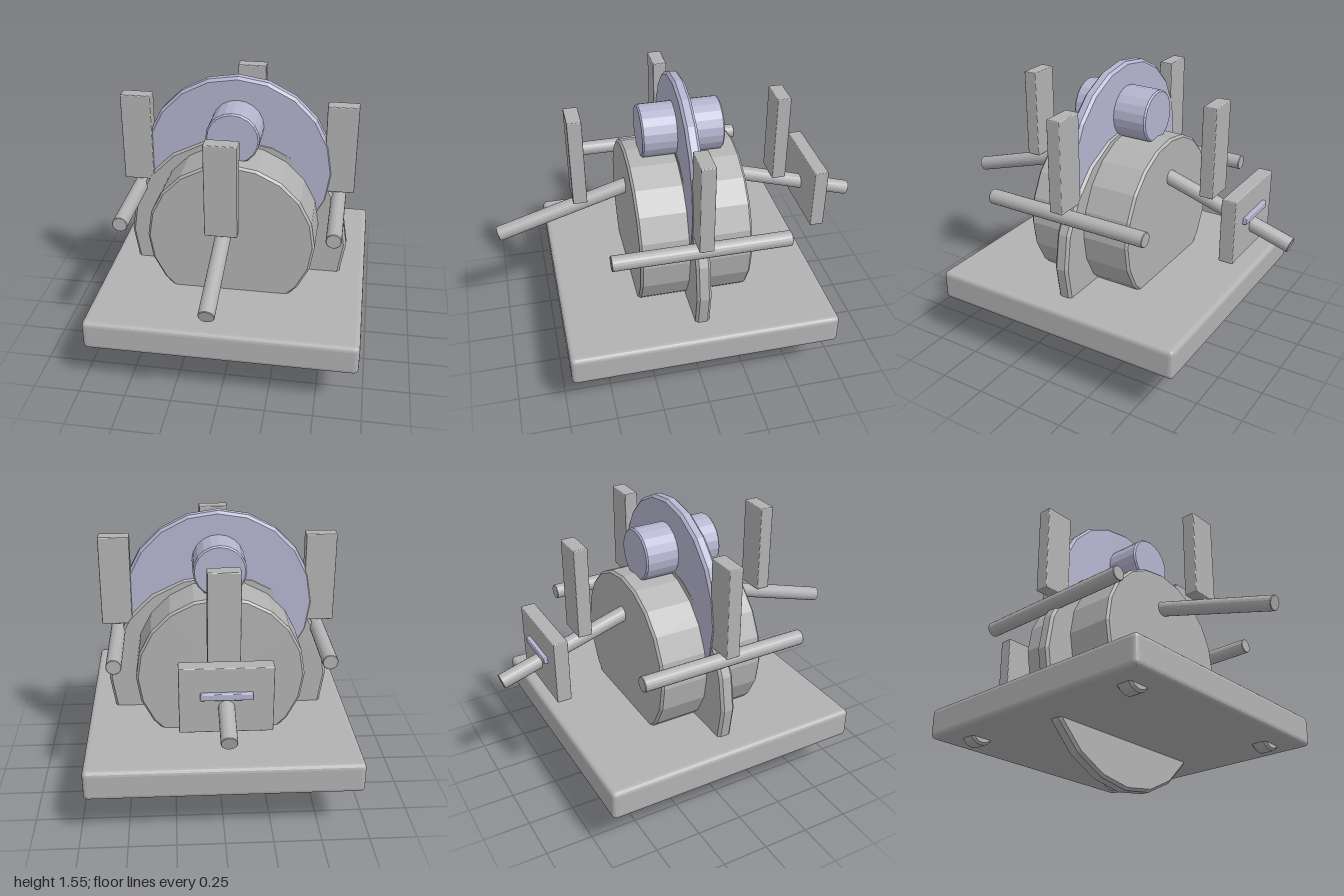
import * as THREE from 'three';
import { RoundedBoxGeometry } from 'three/addons/geometries/RoundedBoxGeometry.js';

export function createModel() {
  const model = new THREE.Group();
  const grey = new THREE.MeshStandardMaterial({ color: 0xb2b2b2, flatShading: true });
  grey.name = 'grey';
  const lilac = new THREE.MeshStandardMaterial({ color: 0xb4b4cf, flatShading: true });
  lilac.name = 'lilac';

  const add = (name, geometry, material, x, y, z) => {
    const mesh = new THREE.Mesh(geometry, material);
    mesh.name = name;
    mesh.position.set(x, y, z);
    model.add(mesh);
    return mesh;
  };
  const box = (w, h, d, bevel) => new RoundedBoxGeometry(w, h, d, 2, bevel);

  // Chamfered cylinder lying along z
  const drum = (r, length, bevel, sides = 20) => {
    const h = length / 2;
    const profile = [[0, -h], [r - bevel, -h], [r, -h + bevel], [r, h - bevel], [r - bevel, h], [0, h]]
      .map(([px, py]) => new THREE.Vector2(px, py));
    return new THREE.LatheGeometry(profile, sides).rotateX(Math.PI / 2);
  };

  // Base and feet
  add('base', box(1.43, 0.165, 1.43, 0.025), grey, 0, 0.352, 0);
  for (const x of [-0.54, 0.54])
    for (const z of [-0.54, 0.54])
      add('foot', drum(0.078, 0.09, 0.012), grey, x, 0.312, z);

  // Body, large wheel and the slightly turned upper wheel with its hub
  add('body', drum(0.445, 0.594, 0.012), grey, 0, 0.738, 0);
  add('lowerWheel', drum(0.605, 0.076, 0.014), grey, 0, 0.61, 0);
  add('upperWheel', drum(0.51, 0.064, 0.014), lilac, 0, 1.045, 0).rotation.y = -0.02;
  add('hub', drum(0.139, 0.43, 0.008), lilac, 0, 1.291, 0);

  // Side rods with posts
  for (const s of [-1, 1]) {
    add('sideRod', drum(0.04, 0.924, 0.003), grey, s * 0.545, 0.888, 0);
    add('sidePost', box(0.163, 0.486, 0.075, 0.006), grey, s * 0.545, 1.182, 0);
  }

  // Sloping rods and posts at front and back
  for (const s of [-1, 1]) {
    add('slopingRod', drum(0.04, 0.924, 0.003), grey, 0, 0.89, s * 0.546).rotation.x = s * 0.296;
    add('endPost', box(0.163, 0.486, 0.075, 0.006), grey, 0, 1.182, s * 0.546);
  }

  // Rear plate with its strip
  add('rearPlate', box(0.45, 0.34, 0.076, 0.006), grey, 0, 0.86, -0.737);
  add('rearStrip', box(0.25, 0.036, 0.04, 0.006), lilac, 0, 0.887, -0.775);

  return model;
}
